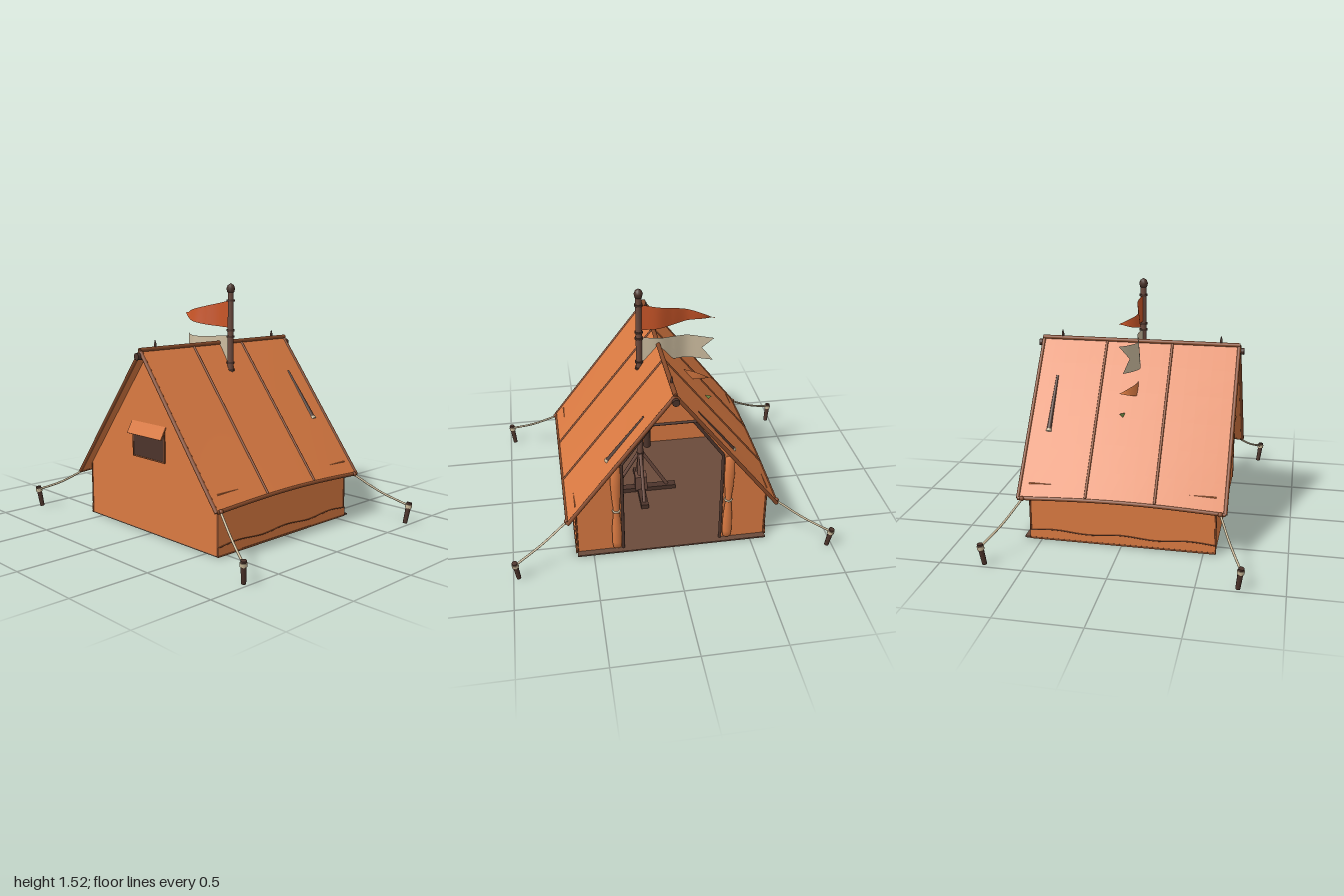
import * as THREE from 'three';
import { ParametricGeometry } from 'three/addons/geometries/ParametricGeometry.js';

const mat = (name, color, side = THREE.FrontSide) => {
  const m = new THREE.MeshStandardMaterial({ color, side });
  m.name = name;
  return m;
};
const V = (x, y, z) => new THREE.Vector3(x, y, z);

export function createModel() {
  const canvas = mat('orange canvas', 0xda7a42, THREE.DoubleSide);
  const trim = mat('brown trim', 0x854929);
  const wood = mat('pole wood', 0x6b4a3e);
  const dark = mat('dark wood', 0x4c342b);
  const ground = mat('groundsheet', 0x6a4a3a);
  const rope = mat('rope', 0xc8b797);
  const red = mat('red flag', 0xc85528, THREE.DoubleSide);
  const cream = mat('cream flag', 0xcbbb9e, THREE.DoubleSide);
  const green = mat('green flag', 0x78964a, THREE.DoubleSide);

  const model = new THREE.Group();
  model.name = 'ridgeTent';
  const add = (name, geo, m, x = 0, y = 0, z = 0) => {
    const mesh = new THREE.Mesh(geo, m);
    mesh.name = name;
    mesh.position.set(x, y, z);
    model.add(mesh);
    return mesh;
  };
  const box = (name, w, h, d, m, x, y, z) => add(name, new THREE.BoxGeometry(w, h, d), m, x, y, z);
  // Round bar from a to b
  const bar = (name, a, b, r, m, r2 = r) => {
    const d = b.clone().sub(a), mid = a.clone().add(b).multiplyScalar(0.5);
    const mesh = add(name, new THREE.CylinderGeometry(r2, r, d.length(), 12), m, mid.x, mid.y, mid.z);
    mesh.quaternion.setFromUnitVectors(V(0, 1, 0), d.normalize());
    return mesh;
  };
  const tube = (name, pts, r, m) =>
    add(name, new THREE.TubeGeometry(new THREE.CatmullRomCurve3(pts), 24, r, 8), m);

  // Roof surface: t runs from ridge to eave, d is the offset along the slope normal
  const W = 1.26, N = V(0, 0.66, 0.85).normalize();
  const roofPoint = (x, t, d, s = 1) => V(x,
    1.138 - 0.85 * t + 0.022 * t * Math.cos(Math.PI * x / W) + N.y * d,
    s * (0.655 * t + N.z * d));

  for (const s of [1, -1]) {
    const g = new THREE.BoxGeometry(W, 1, 0.014, 16, 6, 1), p = g.attributes.position;
    for (let i = 0; i < p.count; i++) {
      const q = roofPoint(p.getX(i), 0.5 - p.getY(i), p.getZ(i) - 0.007);
      p.setXYZ(i, q.x, q.y, q.z);
    }
    g.computeVertexNormals();
    add('roofPanel', g, canvas).rotation.y = s > 0 ? 0 : Math.PI;

    // Seams, edge binding and eave hem
    for (const x of [-0.21, 0.21])
      bar('roofSeam', roofPoint(x, 0, 0, s), roofPoint(x, 0.99, 0, s), 0.008, trim);
    for (const x of [-0.628, 0.628])
      bar('gableBinding', roofPoint(x, 0, -0.005, s), roofPoint(x, 1, -0.005, s), 0.012, trim);
    const eave = [];
    for (let i = 0; i <= 8; i++) eave.push(roofPoint(-0.63 + i * 0.1575, 1, -0.005, s));
    tube('eaveHem', eave, 0.012, trim);

    // Low side wall and wavy skirt
    box('sideWall', 1.14, 0.36, 0.012, canvas, 0, 0.19, s * 0.594);
    const sk = new THREE.Shape();
    sk.moveTo(-0.572, 0.008);
    sk.lineTo(0.572, 0.008);
    const hem = [];
    for (let i = 0; i <= 40; i++) {
      const x = 0.572 - i * 0.0286, y = 0.064 + 0.007 * Math.cos(x * 15);
      sk.lineTo(x, y);
      hem.push(V(x, y, s * 0.608));
    }
    add('wallSkirt', new THREE.ExtrudeGeometry(sk, { depth: 0.008, bevelEnabled: false }),
      canvas, 0, 0, s > 0 ? 0.6 : -0.608);
    add('skirtHem', new THREE.TubeGeometry(new THREE.CatmullRomCurve3(hem), 60, 0.003, 6), trim);
    box('wallFoot', 1.15, 0.012, 0.014, trim, 0, 0.008, s * 0.602);
    for (const x of [-0.57, 0.57]) bar('wallCorner', V(x, 0.01, s * 0.598), V(x, 0.34, s * 0.598), 0.006, trim);

    // Guy ropes and stakes
    for (const sx of [1, -1]) {
      tube('guyRope', [V(sx * 0.6, 0.285, s * 0.655), V(sx * 0.675, 0.185, s * 0.82), V(sx * 0.75, 0.115, s * 0.98)], 0.007, rope);
      bar('stake', V(sx * 0.735, 0, s * 0.968), V(sx * 0.752, 0.135, s * 0.984), 0.014, dark, 0.017);
      bar('stakeKnot', V(sx * 0.748, 0.1, s * 0.98), V(sx * 0.75, 0.122, s * 0.982), 0.021, rope);
      add('ropeKnot', new THREE.SphereGeometry(0.015, 10, 8), trim, sx * 0.6, 0.288, s * 0.658);
    }

    // Rolled door flaps with ties
    const roll = [[0, 0.03], [0.025, 0.035], [0.031, 0.08], [0.029, 0.2], [0.018, 0.32],
      [0.027, 0.42], [0.032, 0.52], [0.03, 0.64], [0, 0.65]].map(([r, y]) => new THREE.Vector2(r, y));
    add('rolledFlap', new THREE.LatheGeometry(roll, 16), canvas, 0.586, 0, s * 0.35).scale.x = 0.75;
    const tie = add('flapTie', new THREE.TorusGeometry(0.02, 0.006, 8, 16), rope, 0.586, 0.32, s * 0.35);
    tie.rotation.x = Math.PI / 2;

    // Door frame and slanted braces under the roof
    bar('doorPost', V(0.57, 0.01, s * 0.31), V(0.57, 0.65, s * 0.31), 0.01, dark);
    bar('doorSlant', V(0.57, 0.65, s * 0.31), V(0.57, 0.91, s * 0.125), 0.01, dark);
    bar('roofBrace', roofPoint(0.5, 0.59, -0.004, s), roofPoint(0.5, 0.25, -0.002, s), 0.016, dark, 0.008);
    bar('braceTip', roofPoint(0.5, 0.6, -0.003, s), roofPoint(0.5, 0.585, -0.003, s), 0.018, rope);
  }
  bar('doorLintel', V(0.572, 0.912, -0.165), V(0.572, 0.912, 0.165), 0.008, dark);

  // Gable walls: closed at one end, doorway at the other
  const gable = (door) => {
    const pts = [[-0.6, 0.008], [-0.6, 0.345], [0, 1.12], [0.6, 0.345], [0.6, 0.008]];
    if (door) pts.push([0.31, 0.008], [0.31, 0.65], [0.125, 0.91], [-0.125, 0.91], [-0.31, 0.65], [-0.31, 0.008]);
    const g = new THREE.ExtrudeGeometry(new THREE.Shape(pts.map(([a, b]) => new THREE.Vector2(a, b))),
      { depth: 0.01, bevelEnabled: false });
    return g.rotateY(Math.PI / 2);
  };
  add('doorGable', gable(true), canvas, 0.56);
  add('backGable', gable(false), canvas, -0.572);

  // Back window with awning flap
  box('windowPanel', 0.006, 0.2, 0.29, dark, -0.574, 0.57, 0);
  for (const z of [-0.148, 0.148]) box('windowSide', 0.009, 0.2, 0.008, trim, -0.575, 0.57, z);
  box('windowSill', 0.009, 0.008, 0.3, trim, -0.575, 0.47, 0);
  box('windowAwning', 0.008, 0.085, 0.32, canvas, -0.592, 0.65, 0).rotation.z = -0.5;

  // Groundsheet
  box('groundsheet', 1.18, 0.01, 1.2, ground, 0.02, 0.005, 0);

  // Ridge pole, cap, pins and inner support
  bar('ridgePole', V(-0.66, 1.1, 0), V(0.66, 1.1, 0), 0.022, dark);
  bar('ridgeCap', V(-0.635, 1.136, 0), V(0.635, 1.136, 0), 0.014, trim);
  for (const x of [-0.515, 0.505]) {
    bar('ridgePin', V(x, 1.12, 0), V(x, 1.165, 0), 0.008, dark);
    bar('ridgePinTip', V(x, 1.165, 0), V(x, 1.188, 0), 0.008, dark, 0.002);
  }
  bar('tentPole', V(-0.515, 0.01, 0), V(-0.515, 1.1, 0), 0.025, dark);

  // Flagpole with collars, finial and braced foot
  const pz = 0.12;
  bar('flagpole', V(0, 0.01, pz), V(0, 1.47, pz), 0.021, wood, 0.019);
  for (const y of [0.32, 0.58, 0.77, 0.81, 0.975, 1.02, 1.185, 1.225, 1.41])
    bar('poleCollar', V(0, y - 0.006, pz), V(0, y + 0.006, pz), 0.026, dark);
  const fin = [[0, 1.455], [0.022, 1.46], [0.028, 1.485], [0.02, 1.505], [0, 1.518]];
  add('poleFinial', new THREE.LatheGeometry(fin.map(([r, y]) => new THREE.Vector2(r, y)), 12), dark, 0, 0, pz);
  box('footBeam', 0.05, 0.03, 0.43, dark, 0, 0.025, pz - 0.025);
  box('footBeam', 0.43, 0.03, 0.05, dark, 0, 0.025, pz);
  box('footBlock', 0.08, 0.11, 0.08, wood, 0, 0.085, pz);
  for (const [dx, dz] of [[1, 0], [-1, 0], [0, 1], [0, -1]])
    bar('footStrut', V(dx * 0.18, 0.04, pz + dz * 0.18), V(dx * 0.012, 0.32, pz + dz * 0.012), 0.012, wood);

  // Waving flags: pennants and swallowtails
  const sway = new THREE.CatmullRomCurve3([V(0, 0, 0.105), V(0.012, 0, 0), V(-0.015, 0, -0.1), V(-0.03, 0, -0.19), V(0.01, 0, -0.28), V(0.05, 0, -0.345)]);
  const flag = (name, y, m, swallow) => add(name, new ParametricGeometry((u, v, out) => {
    const k = 2 * v - 1;
    const w = swallow ? u * (1 - 0.2 * (1 - Math.abs(k))) : u;
    const half = swallow ? 0.083 : 0.083 * (1 - Math.pow(w, 1.3)) + 0.001;
    const p = sway.getPoint(w);
    out.set(p.x + 0.012 * k * w, y + k * half - 0.018 * Math.sin(w * Math.PI * 0.8), p.z);
  }, 28, 12), m);
  flag('redPennant', 1.325, red, false);
  flag('creamSwallowtail', 1.107, cream, true);
  flag('orangePennant', 0.895, canvas, false);
  flag('greenSwallowtail', 0.685, green, true);

  return model;
}
